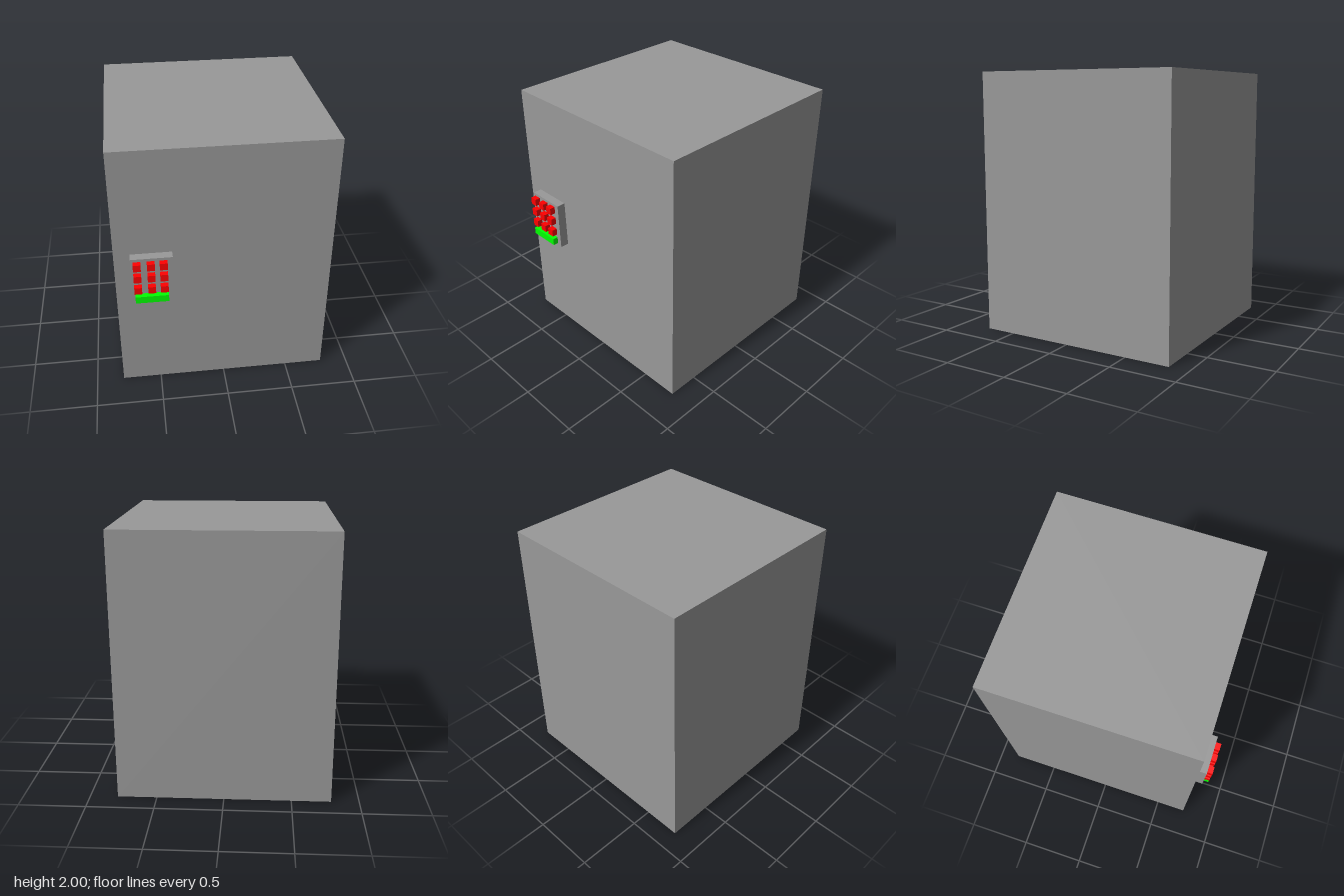
import * as THREE from 'three';

// Box given by its lower and upper corners
function block(name, material, [x0, y0, z0], [x1, y1, z1]) {
  const mesh = new THREE.Mesh(new THREE.BoxGeometry(x1 - x0, y1 - y0, z1 - z0), material);
  mesh.position.set((x0 + x1) / 2, (y0 + y1) / 2, (z0 + z1) / 2);
  mesh.name = name;
  return mesh;
}

export function createModel() {
  const group = new THREE.Group();
  group.name = 'safe';
  const grey = new THREE.MeshStandardMaterial({ color: 0x999999 });
  const red = new THREE.MeshStandardMaterial({ color: 0xff0000 });
  const green = new THREE.MeshStandardMaterial({ color: 0x00ff00 });

  const bodyFront = 0.738, panelFront = 0.805, keyFront = 0.847;

  // Main cabinet
  group.add(block('body', grey, [-0.793, 0, -0.847], [0.793, 2, bodyFront]));

  // Keypad on the front
  const keypad = new THREE.Group();
  keypad.name = 'keypad';
  keypad.add(block('keypadPanel', grey, [-0.678, 0.812, bodyFront], [-0.377, 1.189, panelFront]));

  // Three rows of three keys
  const half = 0.0275;
  for (const y of [1.14, 1.042, 0.942]) {
    for (const x of [-0.633, -0.534, -0.444]) {
      keypad.add(block('key', red, [x - half, y - half, panelFront], [x + half, y + half, keyFront]));
    }
  }

  // Wide key below them
  keypad.add(block('enterKey', green, [-0.656, 0.833, panelFront], [-0.416, 0.888, keyFront]));
  group.add(keypad);
  return group;
}
